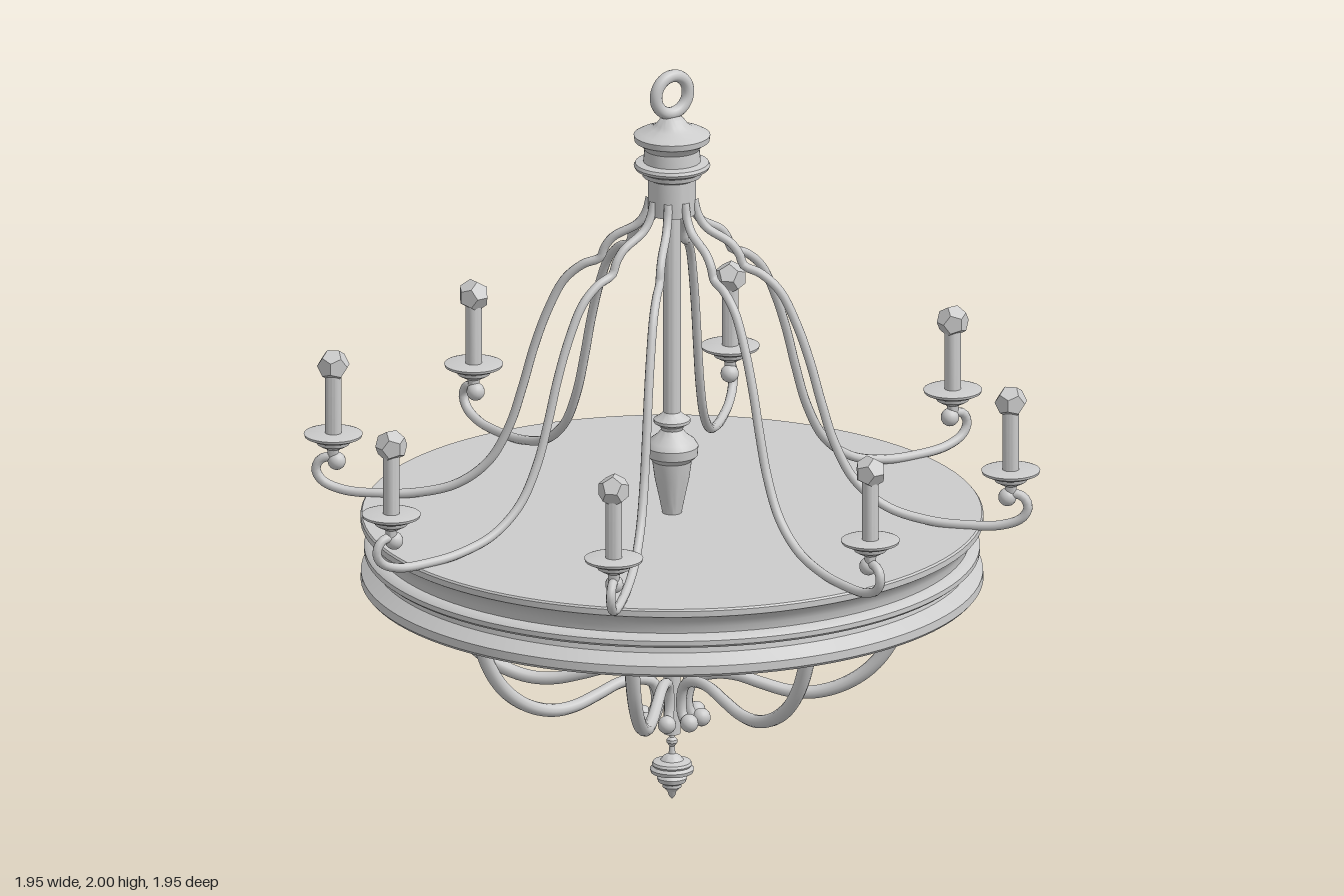
import * as THREE from 'three';
import { toCreasedNormals } from 'three/addons/utils/BufferGeometryUtils.js';

const material = new THREE.MeshStandardMaterial({ color: 0xcccccc });
const flatMaterial = new THREE.MeshStandardMaterial({ color: 0xcccccc, flatShading: true });

function add(parent, name, geometry, x = 0, y = 0, z = 0, mat = material) {
  const mesh = new THREE.Mesh(geometry, mat);
  mesh.name = name;
  mesh.position.set(x, y, z);
  parent.add(mesh);
  return mesh;
}

// Turned part from [radius, height] pairs, listed bottom to top
function turned(profile, segments = 32) {
  const geometry = new THREE.LatheGeometry(profile.map(([r, y]) => new THREE.Vector2(r, y)), segments);
  return toCreasedNormals(geometry, 0.6);
}

// Round rod along [radius, height] points, tapering from r0 to r1
function rod(points, r0, r1, steps) {
  const path = new THREE.CatmullRomCurve3(points.map(([x, y]) => new THREE.Vector3(x, y, 0)), false, 'centripetal');
  const sides = 10;
  const geometry = new THREE.TubeGeometry(path, steps, r0, sides, false);
  const pos = geometry.attributes.position;
  const p = new THREE.Vector3();
  for (let i = 0; i <= steps; i++) {
    const centre = path.getPointAt(i / steps);
    const scale = THREE.MathUtils.lerp(1, r1 / r0, i / steps);
    for (let j = 0; j <= sides; j++) {
      const k = i * (sides + 1) + j;
      p.fromBufferAttribute(pos, k).sub(centre).multiplyScalar(scale).add(centre);
      pos.setXYZ(k, p.x, p.y, p.z);
    }
  }
  return geometry;
}

export function createModel() {
  const model = new THREE.Group();
  model.name = 'chandelier';

  // Closed drum with a moulded rim
  add(model, 'drum', turned([
    [0, 0.6], [0.805, 0.6], [0.812, 0.608], [0.811, 0.63], [0.795, 0.643], [0.778, 0.657], [0.775, 0.672],
    [0.793, 0.676], [0.803, 0.684], [0.803, 0.697], [0.793, 0.706], [0.775, 0.71],
    [0.777, 0.727], [0.785, 0.745], [0.798, 0.758], [0.812, 0.766], [0.812, 0.782], [0.808, 0.787], [0, 0.787],
  ], 96));

  // Central stem with a vase-shaped swelling above the drum
  add(model, 'stem', turned([[0, 0.18], [0.022, 0.18], [0.024, 1.64], [0, 1.64]], 20));
  add(model, 'vase', turned([
    [0.024, 0.78], [0.032, 0.82], [0.045, 0.88], [0.052, 0.93], [0.067, 0.945], [0.069, 0.97], [0.06, 0.985],
    [0.04, 1.0], [0.028, 1.015], [0.032, 1.025], [0.048, 1.035], [0.048, 1.043], [0.03, 1.055], [0.022, 1.065],
  ]));

  // Bottom finial on a thin spike
  add(model, 'finial', turned([
    [0, 0], [0.008, 0.008], [0.012, 0.022], [0.025, 0.034], [0.025, 0.042], [0.036, 0.048], [0.04, 0.06],
    [0.034, 0.067], [0.055, 0.074], [0.058, 0.084], [0.05, 0.091], [0.053, 0.096], [0.05, 0.103],
    [0.03, 0.108], [0.022, 0.118], [0.009, 0.125], [0.007, 0.145], [0.014, 0.155], [0.014, 0.163], [0.007, 0.17], [0.007, 0.19],
  ], 24));

  // Crown that gathers the arms, and its hanging ring
  add(model, 'crown', turned([
    [0, 1.61], [0.063, 1.61], [0.063, 1.705], [0.077, 1.712], [0.08, 1.724], [0.096, 1.732], [0.1, 1.74],
    [0.096, 1.748], [0.075, 1.752], [0.072, 1.785], [0.08, 1.797], [0.098, 1.808], [0.1, 1.824],
    [0.085, 1.832], [0.055, 1.842], [0.042, 1.852], [0.03, 1.868], [0.02, 1.874], [0, 1.875],
  ], 40));
  add(model, 'hangingRing', new THREE.TorusGeometry(0.051, 0.0165, 14, 40), 0, 1.933, 0);

  // Shared geometry of the eight candle arms
  const armRod = rod([
    [0.058, 1.65], [0.068, 1.61], [0.09, 1.575], [0.155, 1.535], [0.178, 1.505], [0.19, 1.475], [0.235, 1.455],
    [0.285, 1.41], [0.33, 1.32], [0.365, 1.22], [0.395, 1.11], [0.43, 1.0], [0.485, 0.9], [0.57, 0.833],
    [0.68, 0.802], [0.78, 0.795], [0.87, 0.8], [0.925, 0.822], [0.942, 0.852], [0.932, 0.878], [0.91, 0.888], [0.885, 0.88],
  ], 0.0115, 0.0125, 110);
  const tip = new THREE.SphereGeometry(0.024, 16, 12);
  const pan = turned([
    [0, 0.885], [0.014, 0.89], [0.016, 0.91], [0.03, 0.917], [0.042, 0.924], [0.045, 0.934], [0.056, 0.937],
    [0.075, 0.946], [0.077, 0.953], [0.07, 0.955], [0, 0.955],
  ]);
  const candle = turned([[0.022, 0.95], [0.022, 1.115], [0, 1.115]], 16);
  const bulb = new THREE.DodecahedronGeometry(0.043);

  for (let i = 0; i < 8; i++) {
    const arm = new THREE.Group();
    arm.name = 'candleArm';
    add(arm, 'armRod', armRod);
    add(arm, 'armTip', tip, 0.887, 0.878, 0);
    add(arm, 'dripPan', pan, 0.896, 0, 0);
    add(arm, 'candle', candle, 0.896, 0, 0);
    add(arm, 'bulb', bulb, 0.896, 1.14, 0, flatMaterial);
    arm.rotation.y = i * Math.PI / 4;
    model.add(arm);
  }

  // Six scrolled braces under the drum, leaving two of the eight places empty
  const braceRod = rod([
    [0.622, 0.61], [0.612, 0.55], [0.58, 0.465], [0.53, 0.395], [0.46, 0.343], [0.38, 0.315], [0.31, 0.314],
    [0.235, 0.332], [0.17, 0.35], [0.11, 0.35], [0.06, 0.33], [0.043, 0.29], [0.045, 0.25], [0.06, 0.228], [0.078, 0.228],
  ], 0.021, 0.013, 70);
  const braceTip = new THREE.SphereGeometry(0.024, 16, 12);
  for (let i = 0; i < 6; i++) {
    const brace = new THREE.Group();
    brace.name = 'lowerBrace';
    add(brace, 'braceRod', braceRod);
    add(brace, 'braceTip', braceTip, 0.078, 0.228, 0);
    brace.rotation.y = -i * Math.PI / 4;
    model.add(brace);
  }
  return model;
}
